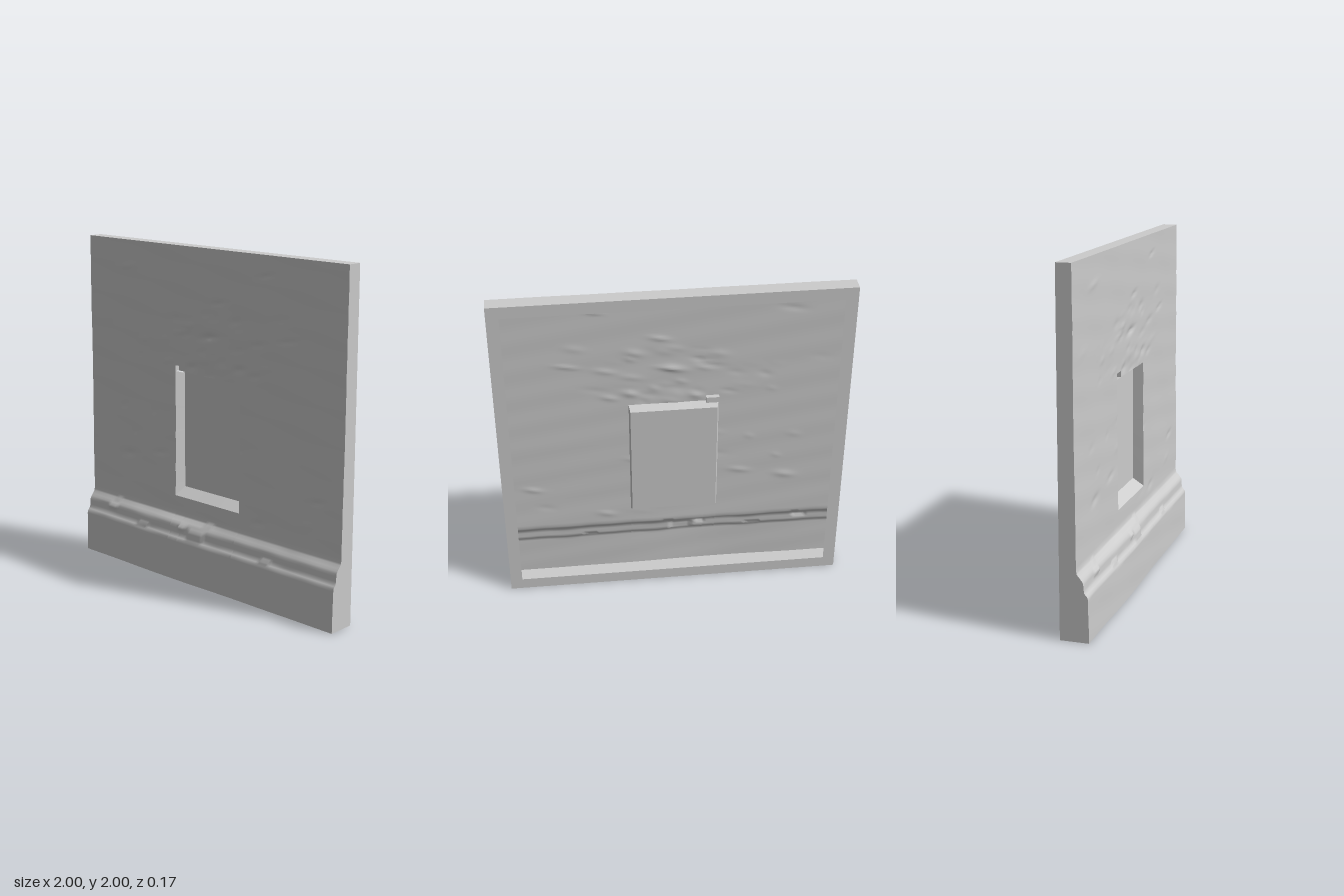
import * as THREE from 'three';

const BACK = -0.087, PANE = -0.06;
const WIN = { l: -0.265, r: 0.25, b: 0.5, t: 1.26 };
const NOTCH = { l: -0.265, r: -0.19, t: 1.295 };

// wall section as [height, depth]: plinth, moulding, plain wall
const PROFILE = [[0, 0.075], [0.255, 0.071], [0.278, 0.05], [0.335, 0.046], [0.36, 0.028],
  [0.376, 0.012], [0.4, 0.007], [0.6, 0.006], [1, 0.002], [2, -0.001]];

// chipped stones along the moulding: x0, x1, y0, y1, offset
const CHIPS = [[-0.82, -0.75, 0.31, 0.345, 0.008], [-0.54, -0.46, 0.275, 0.287, 0.012],
  [-0.19, -0.14, 0.31, 0.345, 0.008], [-0.12, 0, 0.277, 0.32, 0.01],
  [0.45, 0.53, 0.275, 0.287, 0.012], [0.0, 0.06, 0.37, 0.385, 0.008], [-0.77, -0.73, 0.37, 0.385, 0.006]];

function seeded(seed) {
  return () => (seed = (seed * 16807) % 2147483647) / 2147483647;
}

// shallow horizontal dents scattered mostly above the window
const rnd = seeded(71);
const DENTS = Array.from({ length: 70 }, (_, i) => ({
  x: i < 45 ? (rnd() + rnd() - 1) * 0.7 : rnd() * 2 - 1,
  y: i < 45 ? 1.22 + rnd() * 0.42 : 0.45 + rnd() * 1.5,
  w: 0.025 + rnd() * 0.05, h: 0.009 + rnd() * 0.012, d: (rnd() - 0.6) * 0.009,
}));

function profileZ(y) {
  let i = 1;
  while (i < PROFILE.length - 1 && y > PROFILE[i][0]) i++;
  const [a, za] = PROFILE[i - 1], [b, zb] = PROFILE[i];
  return za + (zb - za) * (y - a) / (b - a);
}

// front surface depth at any point
function wallZ(x, y) {
  let z = profileZ(y + 0.003 * Math.sin(x * 17) * Math.sin(x * 6 + 1));
  z += 0.0012 * Math.sin(x * 9 + y * 21) * Math.sin(y * 13 - x * 4);
  if (y < 0.37) z += 0.009 * Math.exp(-(((x + 0.25) / 0.35) ** 2));
  for (const c of CHIPS) if (x >= c[0] && x <= c[1] && y >= c[2] && y <= c[3]) z += c[4];
  for (const d of DENTS) {
    const q = ((x - d.x) / d.w) ** 2 + ((y - d.y - 0.15 * (x - d.x)) / d.h) ** 2;
    if (q < 6) z += d.d * Math.exp(-q);
  }
  return z;
}

// grid surface over two lists of parameters; cells can be left out
function grid(us, vs, fn, skip = () => false) {
  const pos = [], idx = [], n = us.length;
  for (const v of vs) for (const u of us) pos.push(...fn(u, v));
  for (let j = 0; j < vs.length - 1; j++) {
    for (let i = 0; i < n - 1; i++) {
      if (skip((us[i] + us[i + 1]) / 2, (vs[j] + vs[j + 1]) / 2)) continue;
      const a = j * n + i;
      idx.push(a, a + 1, a + n + 1, a, a + n + 1, a + n);
    }
  }
  const g = new THREE.BufferGeometry();
  g.setAttribute('position', new THREE.Float32BufferAttribute(pos, 3));
  g.setIndex(idx);
  g.computeVertexNormals();
  return g;
}

function steps(from, to, n, extra = []) {
  const list = Array.from({ length: n + 1 }, (_, i) => from + (to - from) * i / n);
  const kept = list.filter((v) => extra.every((e) => Math.abs(e - v) > 0.003));
  return [...kept, ...extra].sort((a, b) => a - b);
}

export function createModel() {
  const group = new THREE.Group();
  const plaster = new THREE.MeshStandardMaterial({ color: 0xcccccc, side: THREE.DoubleSide });
  plaster.name = 'grey plaster';
  const add = (name, geometry) => {
    const mesh = new THREE.Mesh(geometry, plaster);
    mesh.name = name;
    group.add(mesh);
    return mesh;
  };

  // weathered front sheet with the window opening left out
  const xs = steps(-1, 1, 130, [WIN.l, NOTCH.r, WIN.r]);
  const ys = steps(0, 2, 150, [0.255, 0.278, 0.335, 0.36, 0.376, WIN.b, WIN.t, NOTCH.t]);
  const inOpening = (x, y) => (x > WIN.l && x < WIN.r && y > WIN.b && y < WIN.t)
    || (x > NOTCH.l && x < NOTCH.r && y >= WIN.t && y < NOTCH.t);
  add('frontWall', grid(xs, ys, (x, y) => [x, y, wallZ(x, y)], inOpening));

  // outer edges following the front surface
  const depth = (t, x, y) => BACK + (wallZ(x, y) - BACK) * t;
  add('leftEdge', grid(ys, [0, 1], (y, t) => [1, y, depth(t, 1, y)]));
  add('rightEdge', grid([0, 1], ys, (t, y) => [-1, y, depth(t, -1, y)]));
  add('topEdge', grid([0, 1], xs, (t, x) => [x, 2, depth(t, x, 2)]));
  add('bottomEdge', grid(xs, [0, 1], (x, t) => [x, 0, depth(t, x, 0)]));

  // flat flange around the hollow back
  const rim = new THREE.Shape([[-1, 0], [1, 0], [1, 2], [-1, 2]].map((p) => new THREE.Vector2(...p)));
  const k = 0.93;
  rim.holes.push(new THREE.Path([[-k, 0.07], [-k, 1.93], [k, 1.93], [k, 0.07]].map((p) => new THREE.Vector2(...p))));
  const flange = new THREE.ShapeGeometry(rim).rotateY(Math.PI);
  add('backFlange', flange).position.z = BACK;

  // splayed reveals from the wall face back to the pane
  const P = { l: -0.25, r: 0.245, b: 0.545, t: 1.25 };
  const reveal = (name, a, b, c, d, zBack = PANE) => add(name, grid(steps(0, 1, 36), [0, 1], (u, t) => {
    const fx = a[0] + (b[0] - a[0]) * u, fy = a[1] + (b[1] - a[1]) * u;
    return t === 0 ? [fx, fy, wallZ(fx, fy)]
      : [c[0] + (d[0] - c[0]) * u, c[1] + (d[1] - c[1]) * u, zBack];
  }));
  const corners = (r) => [[r.l, r.b], [r.l, r.t], [r.r, r.t], [r.r, r.b]];
  const outer = corners(WIN), inner = corners(P);
  ['rightReveal', 'lintel', 'leftReveal', 'sill'].forEach((name, i) => {
    const j = (i + 1) % 4;
    reveal(name, outer[j], outer[i], inner[j], inner[i]);
  });
  add('windowPane', new THREE.PlaneGeometry(P.r - P.l, P.t - P.b))
    .position.set((P.l + P.r) / 2, (P.b + P.t) / 2, PANE);

  // small missing stone above the window corner
  const N = corners({ l: NOTCH.l, r: NOTCH.r, b: WIN.t, t: NOTCH.t });
  for (let i = 0; i < 3; i++) reveal('notchSide', N[i + 1], N[i], N[i + 1], N[i], -0.025);
  add('notchBack', new THREE.PlaneGeometry(NOTCH.r - NOTCH.l, NOTCH.t - WIN.t))
    .position.set((NOTCH.l + NOTCH.r) / 2, (WIN.t + NOTCH.t) / 2, -0.025);

  return group;
}
